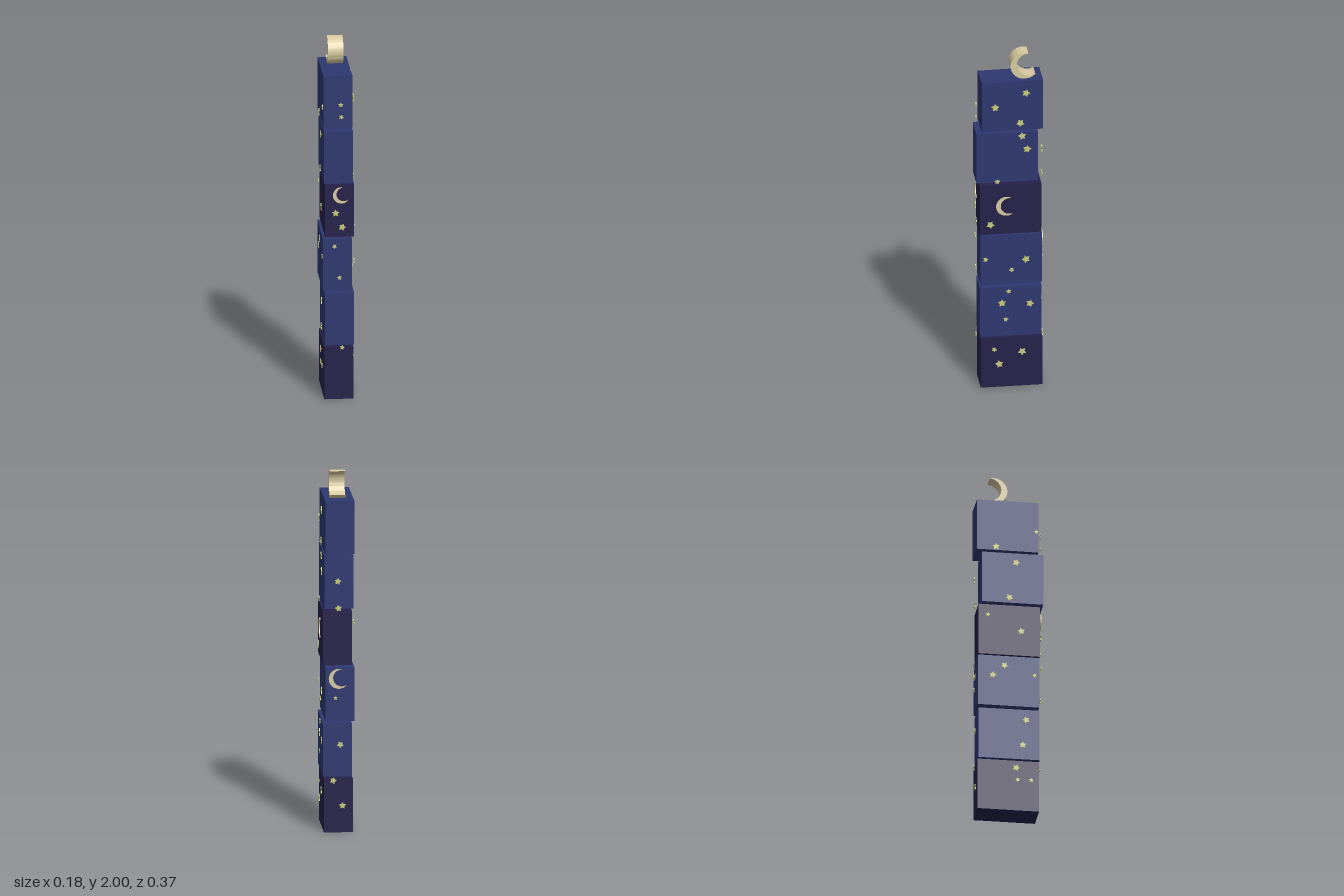
import * as THREE from 'three';
import { toCreasedNormals } from 'three/addons/utils/BufferGeometryUtils.js';

const PLATE = 0.005;

const mat = (name, color) => {
  const m = new THREE.MeshStandardMaterial({ color });
  m.name = name;
  return m;
};

// Five-pointed star outline
function starShape(r, turn) {
  const pts = [];
  for (let i = 0; i < 10; i++) {
    const a = Math.PI / 2 + turn + (i * Math.PI) / 5;
    const k = i % 2 ? r * 0.55 : r;
    pts.push(new THREE.Vector2(Math.cos(a) * k, Math.sin(a) * k));
  }
  return new THREE.Shape(pts);
}

// Crescent outline opening towards +x
function crescentShape(R) {
  const a = Math.acos(0.54), b = Math.atan2(0.842, 0.22);
  const s = new THREE.Shape();
  s.absarc(0, 0, R, a, 2 * Math.PI - a, false);
  s.absarc(0.32 * R, 0, 0.87 * R, 2 * Math.PI - b, b, true);
  return s;
}

const extrude = (shape, depth) =>
  new THREE.ExtrudeGeometry(shape, { depth, bevelEnabled: false, curveSegments: 20 });

// Mesh placed on a side: u runs across it, seen from outside
function place(side, name, geometry, material, u, y, z, tilt = 0) {
  const mesh = new THREE.Mesh(geometry, material);
  mesh.name = name;
  mesh.position.set(u, y, z);
  mesh.rotation.z = tilt;
  side.add(mesh);
}

export function createModel() {
  const model = new THREE.Group();
  const blue = mat('night blue', 0x2e3870);
  const indigo = mat('dark indigo', 0x25204a);
  const cream = mat('moon cream', 0xd8caa0);
  const yellow = mat('star yellow', 0xc6cc7c);

  // Stacked blocks, each slightly out of line: x, z, turn
  const offsets = [
    [0, -0.008, 0.004], [0.005, -0.003, -0.004], [-0.008, -0.008, 0.006],
    [0.004, -0.002, 0.004], [-0.004, 0.015, 0.006], [-0.006, -0.013, 0.015],
  ];
  offsets.forEach(([x, z, turn], i) => {
    const block = new THREE.Mesh(new THREE.BoxGeometry(0.158, 0.297, 0.337), i % 3 ? blue : indigo);
    block.name = 'block' + (i + 1);
    block.position.set(x, 0.1485 + i * 0.3102, z);
    block.rotation.y = turn;
    model.add(block);
  });

  const addSide = (name, angle) => {
    const side = new THREE.Group();
    side.name = name;
    side.rotation.y = angle;
    model.add(side);
    return side;
  };

  // Thin stars on one side, all of one radius, at [across, height]
  const addStars = (side, out, r, spots) => spots.forEach(([u, y], i) =>
    place(side, 'star', extrude(starShape(r, i * 0.9), PLATE), yellow, u, y, out - PLATE));

  // Thin crescent on one side
  const addMoon = (side, out, r, u, y, tilt) =>
    place(side, 'crescent', extrude(crescentShape(r), PLATE), cream, u, y, out - PLATE, tilt);

  // Front
  const front = addSide('frontDecorations', 0);
  addStars(front, 0.181, 0.021, [[-0.018, 1.07], [0.018, 0.99]]);
  addStars(front, 0.181, 0.014, [[0.01, 1.69], [0.013, 1.62], [-0.024, 0.88], [0.003, 0.7], [0.018, 0.3]]);
  addMoon(front, 0.181, 0.046, 0.013, 1.172, 0.4);

  // Right, the +x side
  const right = addSide('rightDecorations', Math.PI / 2);
  addStars(right, 0.088, 0.023, [[-0.082, 1.7], [0.087, 1.78], [0.056, 1.6], [0.066, 1.52], [0.093, 1.44],
    [-0.108, 0.99], [0.087, 0.77], [-0.045, 0.51], [0.108, 0.5], [0.066, 0.21], [-0.06, 0.14]]);
  addStars(right, 0.088, 0.015, [[-0.071, 1.25], [-0.135, 0.78], [0.008, 0.71], [-0.008, 0.58],
    [-0.024, 0.41], [-0.087, 0.23]]);
  addMoon(right, 0.088, 0.056, -0.021, 1.098, 0.08);

  // Back
  const back = addSide('backDecorations', Math.PI);
  addStars(back, 0.185, 0.02, [[0.022, 0.15], [-0.029, 0.29], [0.01, 0.49], [0, 1.25], [-0.003, 1.4]]);
  addStars(back, 0.185, 0.012, [[-0.016, 0.75]]);
  addMoon(back, 0.185, 0.055, 0.002, 0.857, 0.3);

  // Left, the -x side
  const left = addSide('leftDecorations', -Math.PI / 2);
  addStars(left, 0.0905, 0.021, [[-0.076, 1.57], [0.034, 1.48], [-0.003, 1.27], [0.062, 1.07],
    [-0.094, 0.8], [-0.03, 0.86], [0.089, 0.54], [0.07, 0.39], [0.034, 0.25]]);
  addStars(left, 0.0905, 0.014, [[0.144, 1.67], [-0.12, 1.16], [0.135, 0.81], [0.043, 0.18], [0.117, 0.18]]);

  // Thick crescent resting on the top block
  const topMoon = toCreasedNormals(extrude(crescentShape(0.077), 0.085), 0.7);
  place(addSide('topMoon', Math.PI / 2), 'topCrescent', topMoon, cream, 0.085, 1.923, -0.044, 0.3);

  return model;
}
